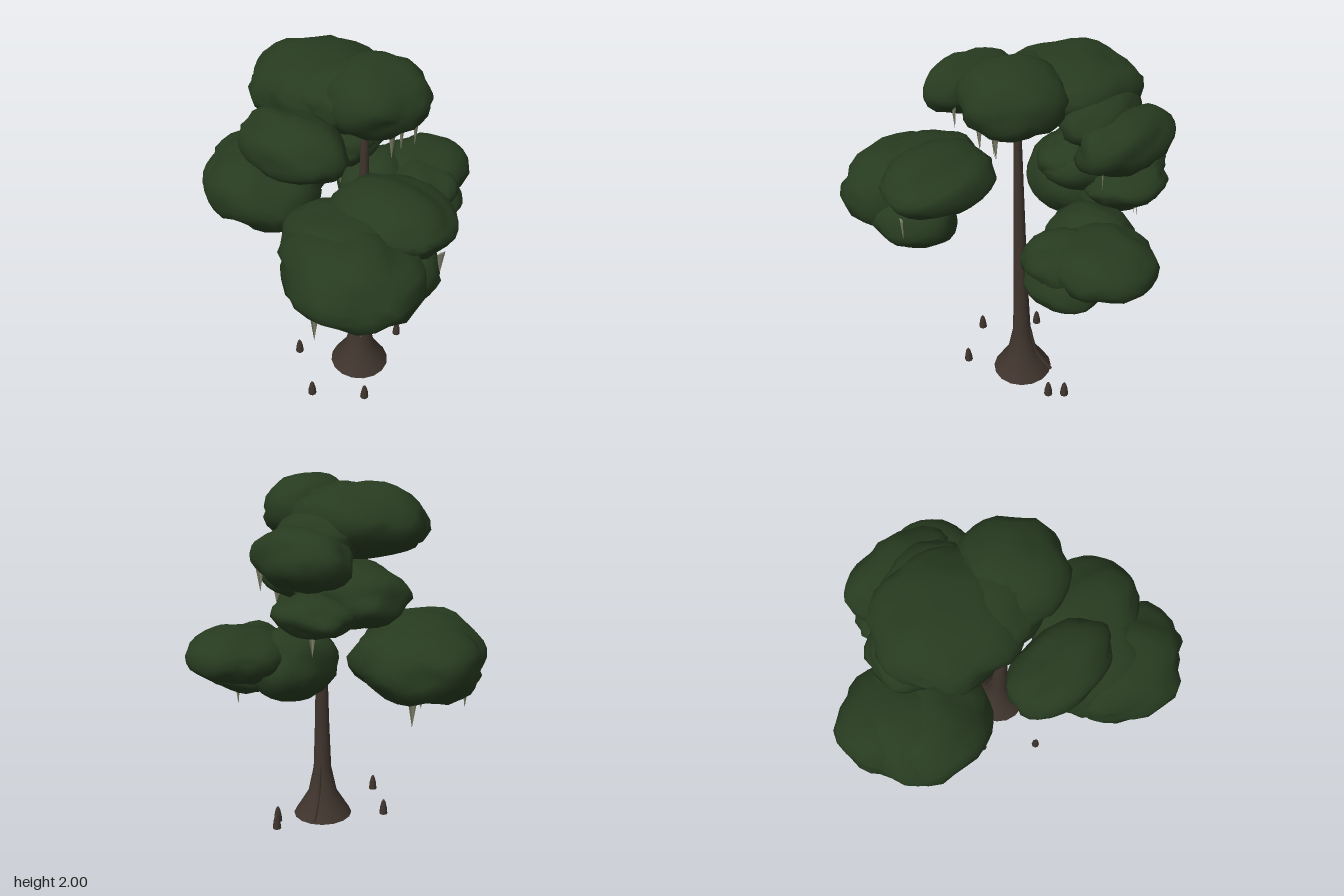
import * as THREE from 'three';
import { mergeVertices } from 'three/addons/utils/BufferGeometryUtils.js';

const leaf = new THREE.MeshStandardMaterial({ color: 0x273b20 });
leaf.name = 'leaf green';
const bark = new THREE.MeshStandardMaterial({ color: 0x3f342d, side: THREE.DoubleSide });
bark.name = 'bark brown';
const moss = new THREE.MeshStandardMaterial({ color: 0x80826b, side: THREE.DoubleSide });
moss.name = 'moss grey';

function seeded(seed) {
  let s = seed * 7919 + 17;
  return () => ((s = (s * 16807) % 2147483647) / 2147483647);
}

// Craggy ellipsoid, fitted exactly to the given radii
function clumpGeometry(radii, seed) {
  const rand = seeded(seed);
  for (let i = 0; i < 5; i++) rand();
  let g = new THREE.IcosahedronGeometry(1, 4);
  g.deleteAttribute('normal');
  g.deleteAttribute('uv');
  g = mergeVertices(g, 1e-4);
  const waves = Array.from({ length: 6 }, (_, i) => ({
    dir: new THREE.Vector3(rand() - 0.5, rand() - 0.5, rand() - 0.5).normalize(),
    freq: 3.5 + i * 1.1,
    phase: rand() * 6.28,
  }));
  const p = g.attributes.position;
  const v = new THREE.Vector3();
  for (let i = 0; i < p.count; i++) {
    v.fromBufferAttribute(p, i);
    let k = 1 + (rand() - 0.5) * 0.08;
    for (const w of waves) k += 0.03 * Math.sin(v.dot(w.dir) * w.freq + w.phase);
    v.multiplyScalar(Math.min(k, 1.05));
    p.setXYZ(i, v.x, v.y, v.z);
  }
  g.center();
  g.computeBoundingBox();
  const b = g.boundingBox.max;
  g.scale(radii[0] / b.x, radii[1] / b.y, radii[2] / b.z);
  g.computeVertexNormals();
  return g;
}

export function createModel() {
  const tree = new THREE.Group();
  tree.name = 'swampTree';
  const add = (name, geometry, material, x = 0, y = 0, z = 0, parent = tree) => {
    const m = new THREE.Mesh(geometry, material);
    m.name = name;
    m.position.set(x, y, z);
    parent.add(m);
    return m;
  };
  const group = (name) => {
    const g = new THREE.Group();
    g.name = name;
    tree.add(g);
    return g;
  };
  const TX = 0.18;

  // Flared trunk, open at the foot
  const profile = [[0.172, 0.005], [0.15, 0.04], [0.085, 0.145], [0.052, 0.3], [0.041, 0.6],
    [0.032, 1], [0.026, 1.3], [0.019, 1.66]].map(([r, y]) => new THREE.Vector2(r, y));
  add('trunk', new THREE.LatheGeometry(profile, 16), bark, TX, 0, 0);

  // Root running up the back of the flare
  const angle = Math.PI + 0.5;
  const rootPath = new THREE.CatmullRomCurve3([[0.178, 0.025], [0.14, 0.065], [0.085, 0.145], [0.045, 0.32]]
    .map(([r, y]) => new THREE.Vector3(r * Math.sin(angle), y, r * Math.cos(angle))));
  add('root', new THREE.TubeGeometry(rootPath, 8, 0.012, 6), bark, TX, 0, 0);

  // Root knees around the trunk
  const kneeProfile = [[0.024, 0], [0.02, 0.04], [0.012, 0.075], [0.005, 0.088], [0, 0.09]]
    .map(([r, y]) => new THREE.Vector2(r, y));
  const kneeGeometry = new THREE.LatheGeometry(kneeProfile, 8);
  const knees = group('rootKnees');
  for (const [x, z] of [[-0.13, 0.2], [0.145, 0.41], [0.4, 0.245], [0.185, -0.36], [0.25, -0.295]])
    add('rootKnee', kneeGeometry, bark, x, 0.03, z, knees);

  // Leaf clumps: centre x y z, then radii
  const clumps = [
    // low right side
    [-0.57, 1.09, -0.03, 0.3, 0.2, 0.31], [-0.43, 1.095, 0.12, 0.34, 0.235, 0.3],
    [-0.48, 1.12, 0.03, 0.34, 0.21, 0.36],
    // low back
    [0.17, 1.11, -0.59, 0.27, 0.15, 0.275], [0.27, 1.01, -0.46, 0.23, 0.15, 0.21],
    [0.02, 1.05, -0.36, 0.22, 0.2, 0.25], [0.27, 1.1, -0.42, 0.22, 0.14, 0.2],
    // front left side
    [0.5, 1.24, 0.53, 0.36, 0.22, 0.335], [0.51, 1.38, 0.23, 0.32, 0.16, 0.27],
    [0.4, 1.25, 0.47, 0.33, 0.22, 0.25], [0.6, 1.15, 0.33, 0.23, 0.17, 0.24],
    // middle
    [-0.2, 1.42, -0.16, 0.32, 0.16, 0.25], [-0.2, 1.34, -0.4, 0.24, 0.11, 0.21],
    [-0.06, 1.41, -0.14, 0.18, 0.13, 0.17],
    // top
    [-0.15, 1.77, -0.03, 0.37, 0.2, 0.34], [0.22, 1.81, -0.02, 0.285, 0.19, 0.28],
    [0.04, 1.78, 0.01, 0.27, 0.18, 0.27], [0.11, 1.71, 0.45, 0.29, 0.16, 0.185],
    [-0.13, 1.61, -0.43, 0.3, 0.16, 0.19], [-0.1, 1.7, -0.3, 0.25, 0.13, 0.17],
  ];
  const crown = group('crown');
  clumps.forEach(([x, y, z, ...radii], i) =>
    add('leafClump', clumpGeometry(radii, i + 1), leaf, x, y, z, crown));

  // Hanging moss blades: tip x y z, length, turn about y
  const strands = [
    [-0.62, 0.8, -0.16, 0.16, 0.6], [-0.78, 0.89, 0.05, 0.14, 1.4], [-0.53, 0.83, 0.02, 0.12, 0.3],
    [0.27, 0.86, -0.45, 0.12, 0.8], [0.25, 0.81, -0.55, 0.2, 1.4], [0.35, 0.93, -0.32, 0.12, 1.2],
    [0.47, 0.94, 0.76, 0.17, 0.1], [0.65, 0.97, 0.64, 0.14, 1.5], [0.78, 1.13, 0.2, 0.13, 1.3],
    [-0.19, 1.2, 0.05, 0.14, 0], [-0.22, 1.14, -0.45, 0.15, 0.5], [0.1, 1.43, -0.5, 0.15, 0.7],
    [0.38, 1.55, 0.055, 0.13, 1.5], [0.37, 1.55, -0.04, 0.15, 1.5], [0.41, 1.57, -0.1, 0.14, 1.5],
    [0.1, 1.53, 0.49, 0.1, 1.4], [0.3, 1.53, 0.35, 0.13, 1.4],
  ];
  const hanging = group('hangingMoss');
  for (const [x, y, z, len, turn] of strands) {
    const g = new THREE.ConeGeometry(0.026, len, 4);
    g.rotateX(Math.PI);
    const strand = add('mossStrand', g, moss, x, y + len / 2, z, hanging);
    strand.scale.z = 0.25;
    strand.rotation.y = turn;
  }
  return tree;
}
